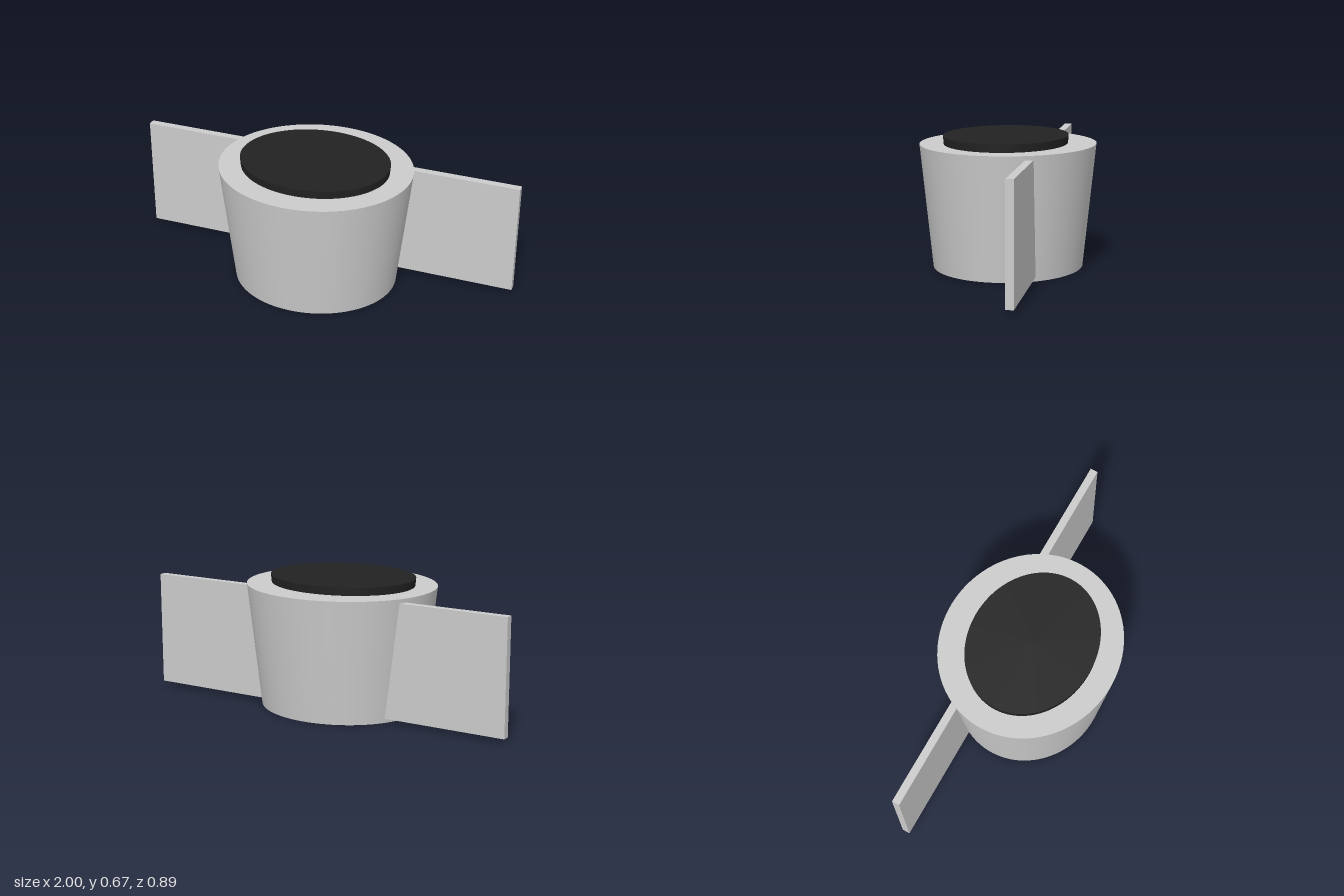
import * as THREE from 'three';

const grey = new THREE.MeshStandardMaterial({ color: 0xcccccc });
const black = new THREE.MeshStandardMaterial({ color: 0x222222 });

// Tapered oval solid: a cone frustum squashed along z, standing on y0
function ovalFrustum(name, rTop, rBottom, y0, y1, depthRatio, z, material) {
  const geometry = new THREE.CylinderGeometry(rTop, rBottom, y1 - y0, 96);
  geometry.scale(1, 1, depthRatio);
  const mesh = new THREE.Mesh(geometry, material);
  mesh.name = name;
  mesh.position.set(0, (y0 + y1) / 2, z);
  return mesh;
}

export function createModel() {
  const model = new THREE.Group();
  model.name = 'ovalTubWithSidePanels';

  // Oval body, wider at the top
  model.add(ovalFrustum('body', 0.492, 0.42, 0, 0.627, 0.903, 0, grey));

  // Dark oval lid, set slightly towards the front
  model.add(ovalFrustum('lid', 0.382, 0.378, 0.627, 0.668, 0.823, 0.011, black));

  // Flat panels reaching out from the rear half of the body
  const inner = 0.3, outer = 1;
  for (const [name, side] of [['leftPanel', 1], ['rightPanel', -1]]) {
    const panel = new THREE.Mesh(new THREE.BoxGeometry(outer - inner, 0.583, 0.039), grey);
    panel.name = name;
    panel.position.set(side * (inner + outer) / 2, 0.314, -0.177);
    model.add(panel);
  }

  return model;
}
